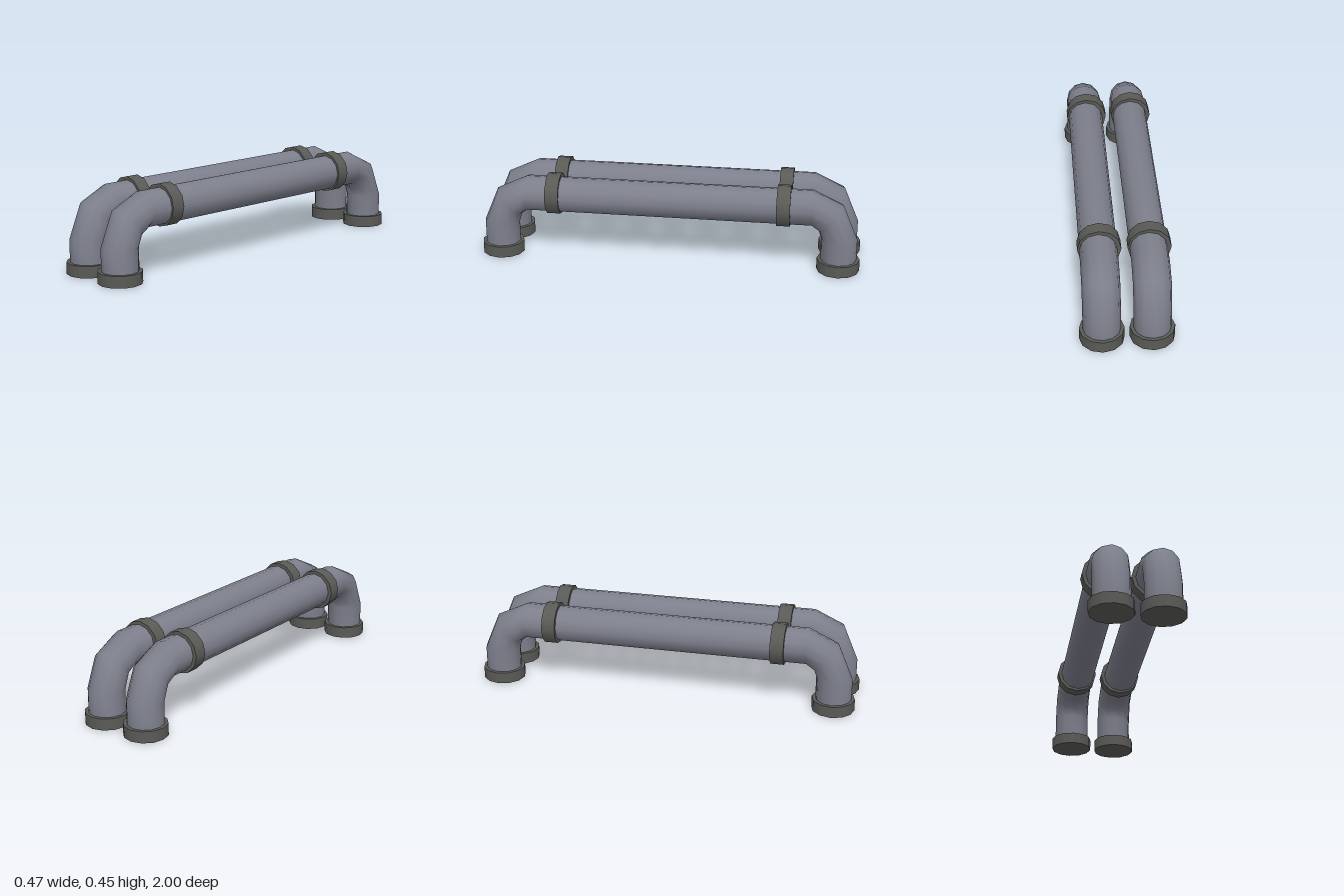
import * as THREE from 'three';

const SIDES = 12;
const PIPE_R = 0.093;
const pipeMat = new THREE.MeshStandardMaterial({ color: 0x7d7f8c });
const fittingMat = new THREE.MeshStandardMaterial({ color: 0x5a5a57 });

// Half of the pipe path: [z, y, angle of the outward direction in degrees]
const halfPath = [[0.889, 0.03, 0], [0.889, 0.175, 0], [0.843, 0.288, 48], [0.745, 0.339, 90]];

// Pipe swept through one ring per path station, mirrored front to back
function pipeGeometry() {
  const back = halfPath.map(([z, y, a]) => [-z, y, 180 - a]).reverse();
  const stations = [...halfPath, ...back];
  const positions = [], indices = [];
  stations.forEach(([z, y, deg], i) => {
    const a = THREE.MathUtils.degToRad(deg);
    for (let j = 0; j < SIDES; j++) {
      const t = (j / SIDES) * Math.PI * 2;
      const out = PIPE_R * Math.sin(t);
      positions.push(PIPE_R * Math.cos(t), y + out * Math.sin(a), z + out * Math.cos(a));
      if (i === 0) continue;
      const k = (j + 1) % SIDES;
      const p = (i - 1) * SIDES, q = i * SIDES;
      indices.push(p + j, q + k, p + k, p + j, q + j, q + k);
    }
  });
  const geo = new THREE.BufferGeometry();
  geo.setAttribute('position', new THREE.Float32BufferAttribute(positions, 3));
  geo.setIndex(indices);
  geo.computeVertexNormals();
  return geo;
}

export function createModel() {
  const model = new THREE.Group();
  model.name = 'twinPipes';

  const pipeGeo = pipeGeometry();
  const flangeGeo = new THREE.CylinderGeometry(0.111, 0.111, 0.06, SIDES);
  const collarGeo = new THREE.CylinderGeometry(0.108, 0.108, 0.07, SIDES).rotateX(Math.PI / 2);

  const add = (parent, name, geo, mat, x, y, z) => {
    const mesh = new THREE.Mesh(geo, mat);
    mesh.name = name;
    mesh.position.set(x, y, z);
    parent.add(mesh);
  };

  for (const side of [1, -1]) {
    const unit = new THREE.Group();
    unit.name = side > 0 ? 'leftPipe' : 'rightPipe';
    unit.position.x = side * 0.123;
    add(unit, 'pipe', pipeGeo, pipeMat, 0, 0, 0);

    // Floor flange and joint collar at each end
    for (const end of [1, -1]) {
      const prefix = end > 0 ? 'front' : 'back';
      add(unit, prefix + 'Flange', flangeGeo, fittingMat, 0, 0.03, end * 0.889);
      add(unit, prefix + 'Collar', collarGeo, fittingMat, -0.005, 0.341, end * 0.6);
    }
    model.add(unit);
  }
  return model;
}
